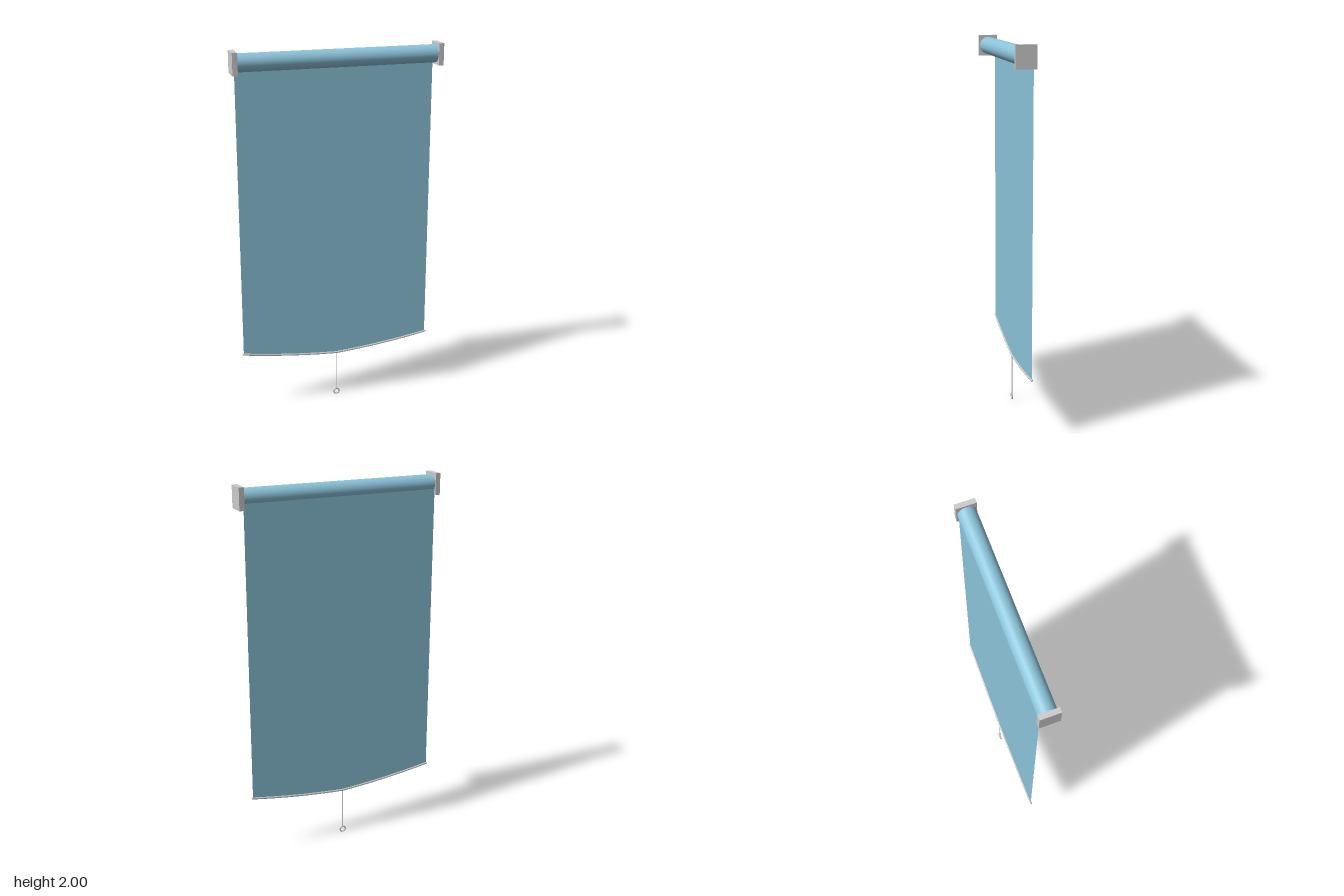
import * as THREE from 'three';

const HALF = 0.533;      // half width of the blind
const BACK = -0.04;      // plane in which the fabric hangs
const AXIS_Y = 1.942;    // height of the roller axis
const EDGE_Y = 0.327, MID_Y = 0.266; // hem height at the sides and in the middle

const grey = new THREE.MeshStandardMaterial({ color: 0xcccccc });
const blue = new THREE.MeshStandardMaterial({ color: 0x8cc4da });
const fabricBlue = new THREE.MeshStandardMaterial({ color: 0x8cc4da, side: THREE.DoubleSide });

export function createModel() {
  const model = new THREE.Group();
  const add = (name, geometry, material, x, y, z) => {
    const mesh = new THREE.Mesh(geometry, material);
    mesh.name = name;
    mesh.position.set(x, y, z);
    model.add(mesh);
    return mesh;
  };

  // Roller
  const roller = add('roller', new THREE.CylinderGeometry(0.047, 0.047, 2 * HALF, 48), blue, 0, AXIS_Y, 0);
  roller.rotation.z = Math.PI / 2;

  // Fabric sheet with a gently pointed lower edge
  const sheet = new THREE.Shape();
  sheet.moveTo(-HALF, AXIS_Y);
  sheet.lineTo(-HALF, EDGE_Y);
  sheet.quadraticCurveTo(-HALF / 2, 0.281, 0, MID_Y);
  sheet.quadraticCurveTo(HALF / 2, 0.281, HALF, EDGE_Y);
  sheet.lineTo(HALF, AXIS_Y);
  add('fabric', new THREE.ShapeGeometry(sheet, 16), fabricBlue, 0, 0, BACK);

  for (const side of [-1, 1]) {
    const label = side > 0 ? 'left' : 'right';
    // Wall brackets at the roller ends
    add(label + 'Bracket', new THREE.BoxGeometry(0.027, 0.115, 0.104), grey, side * 0.545, 1.9425, 0);

    // Hem rod following each half of the lower edge, with closed ends
    const curve = new THREE.QuadraticBezierCurve3(
      new THREE.Vector3(0, MID_Y, 0),
      new THREE.Vector3(side * HALF / 2, 0.281, 0),
      new THREE.Vector3(side * (HALF + 0.003), EDGE_Y, 0));
    add(label + 'Hem', new THREE.TubeGeometry(curve, 16, 0.006, 10), grey, 0, 0, BACK);
    add(label + 'HemEnd', new THREE.SphereGeometry(0.006, 10, 8), grey, side * (HALF + 0.003), EDGE_Y, BACK);
  }

  // Pull cord and ring
  add('pullCord', new THREE.CylinderGeometry(0.0025, 0.0025, MID_Y - 0.036, 10), grey, 0, (MID_Y + 0.036) / 2, BACK);
  add('pullRing', new THREE.TorusGeometry(0.0155, 0.004, 10, 32), grey, 0, 0.0195, BACK);

  return model;
}
